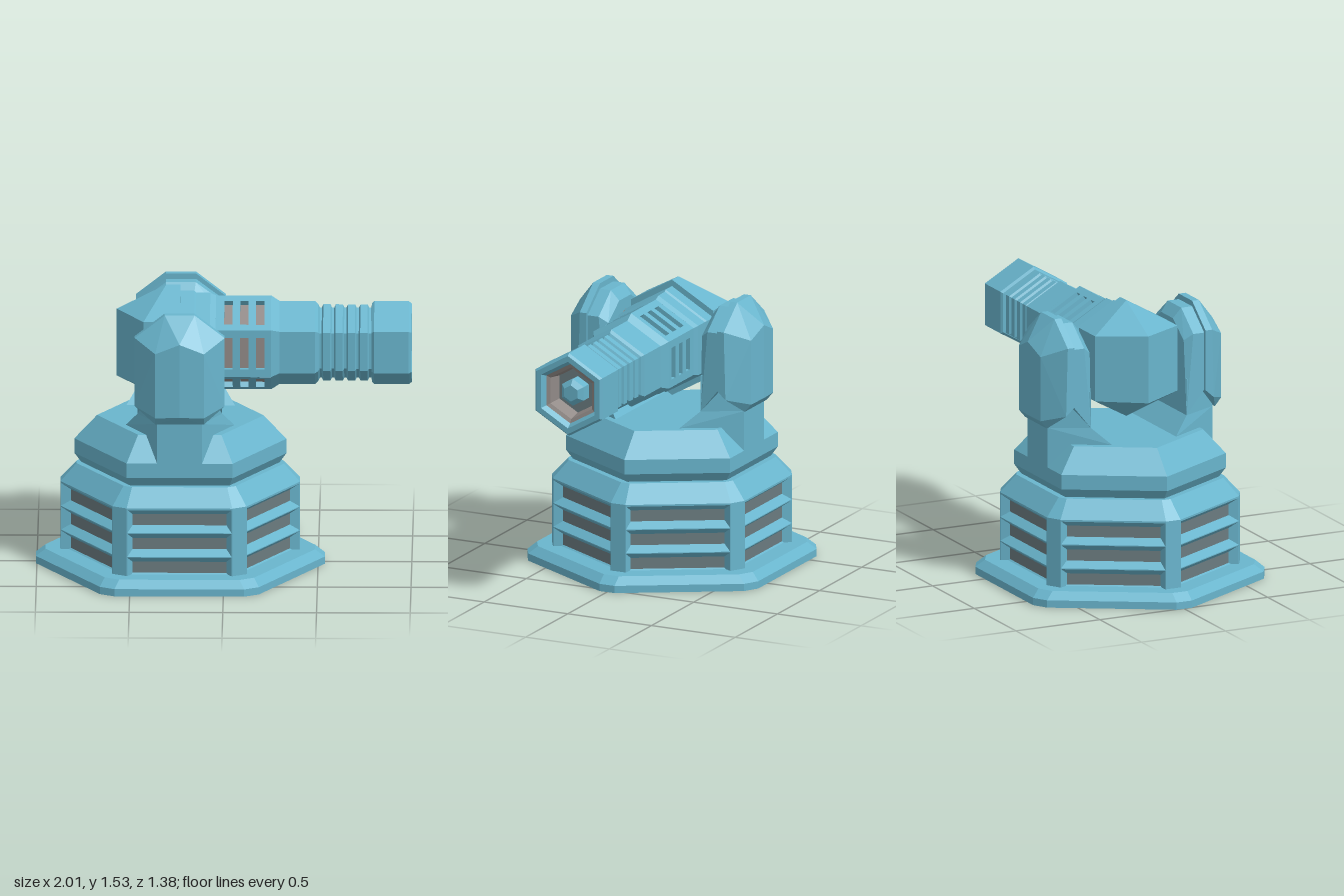
import * as THREE from 'three';
import { ConvexGeometry } from 'three/addons/geometries/ConvexGeometry.js';

const teal = new THREE.MeshStandardMaterial({ color: 0x69b5cd, flatShading: true });
const grey = new THREE.MeshStandardMaterial({ color: 0x918a87, flatShading: true });
const slate = new THREE.MeshStandardMaterial({ color: 0x6b7c80, flatShading: true });
const CX = -0.235; // turning axis of the turret
const AXIS_Y = 1.215; // height of the barrel axis

function add(parent, name, geometry, material = teal) {
  const mesh = new THREE.Mesh(geometry, material);
  mesh.name = name;
  parent.add(mesh);
  return mesh;
}

// Skin a stack of equal-length rings, optionally closing both ends
function loft(rings, capped = true) {
  const n = rings[0].length;
  const index = [];
  for (let i = 0; i < rings.length - 1; i++) {
    for (let j = 0; j < n; j++) {
      const a = i * n + j, b = i * n + (j + 1) % n;
      index.push(a, b, b + n, a, b + n, a + n);
    }
  }
  const top = (rings.length - 1) * n;
  for (let j = 1; capped && j < n - 1; j++) index.push(0, j + 1, j, top, top + j, top + j + 1);
  const g = new THREE.BufferGeometry();
  g.setAttribute('position', new THREE.Float32BufferAttribute(rings.flat(2), 3));
  g.setIndex(index);
  const flat = g.toNonIndexed();
  flat.computeVertexNormals();
  return flat;
}

// Hexagon with clipped corners: apothem a, clip length c, height y
function hexRing(a, c, y) {
  const R = a * 2 / Math.sqrt(3);
  const corner = k => new THREE.Vector3(R * Math.cos(k * Math.PI / 3), y, -R * Math.sin(k * Math.PI / 3));
  const ring = [];
  for (let k = 0; k < 6; k++) {
    for (const d of [-1, 1]) ring.push(corner(k).lerp(corner(k + d), c / R).toArray());
  }
  return ring;
}

// Upright rectangle of half width w between heights y0 and y1
function rectRing(w, y0, y1, z) {
  return [[-w, y0, z], [w, y0, z], [w, y1, z], [-w, y1, z]];
}

// Convex solid from points mirrored across x, with z multiplied by side
function hull(points, side = 1) {
  const all = [];
  for (const [x, y, z] of points) {
    all.push(new THREE.Vector3(x, y, z * side));
    if (x) all.push(new THREE.Vector3(-x, y, z * side));
  }
  return new ConvexGeometry(all);
}

// Six-sided turned part along +x, profile as [x, radius]
function turned(profile) {
  const pts = profile.map(([x, r]) => new THREE.Vector2(r, x));
  const g = new THREE.LatheGeometry(pts, 6, Math.PI / 2).toNonIndexed().rotateZ(-Math.PI / 2);
  g.computeVertexNormals();
  return g;
}

function rectPath(PathType, x0, x1, y0, y1) {
  return new PathType([[x0, y0], [x1, y0], [x1, y1], [x0, y1]].map(p => new THREE.Vector2(...p)));
}

function buildBase() {
  const base = new THREE.Group();
  base.name = 'base';
  add(base, 'footPlate', loft([hexRing(0.69, 0.052, 0), hexRing(0.69, 0.052, 0.04), hexRing(0.645, 0.052, 0.08)]));
  add(base, 'ventBacking', loft([hexRing(0.53, 0, 0.07), hexRing(0.53, 0, 0.45)]), slate);
  add(base, 'bodyShoulder', loft([hexRing(0.575, 0.05, 0.445), hexRing(0.575, 0.05, 0.455), hexRing(0.492, 0.03, 0.55)]));

  const cells = [0, 1, 2].map(i => [0.055 + i * 0.132, 0.182 + i * 0.132]);
  for (let k = 0; k < 6; k++) {
    // Side with three bevelled vent recesses
    const face = new THREE.Group();
    face.name = 'ventSide';
    face.rotation.y = k * Math.PI / 3;
    base.add(face);
    const frame = rectPath(THREE.Shape, -0.282, 0.282, 0.05, 0.45);
    for (const [y0, y1] of cells) {
      frame.holes.push(rectPath(THREE.Path, -0.278, 0.278, y0, y1));
      const rings = [rectRing(0.278, y0, y1, 0.575), rectRing(0.25, y0 + 0.032, y1 - 0.035, 0.529)];
      add(face, 'ventBevel', loft(rings, false));
    }
    add(face, 'ventFrame', new THREE.ShapeGeometry(frame)).position.z = 0.575;

    // Corner post
    const mount = new THREE.Group();
    mount.name = 'cornerPostMount';
    mount.rotation.y = k * Math.PI / 3;
    base.add(mount);
    add(mount, 'cornerPost', new THREE.BoxGeometry(0.05, 0.39, 0.0866)).position.set(0.614, 0.255, 0);
  }
  return base;
}

function buildCradle() {
  const cradle = new THREE.Group();
  cradle.name = 'cradle';
  add(cradle, 'turntable', loft([hexRing(0.455, 0, 0.545), hexRing(0.49, 0, 0.6), hexRing(0.49, 0, 0.68), hexRing(0.385, 0, 0.81)]));
  for (const s of [1, -1]) {
    add(cradle, 'armFoot', hull([
      [0.29, 0.68, 0.19], [0.29, 0.81, 0.19], [0.225, 0.9, 0.285], [0.12, 0.68, 0.49], [0.12, 0.9, 0.49],
    ], s));
    add(cradle, 'armPost', hull([
      [0.225, 0.9, 0.285], [0.225, 1.1, 0.285], [0.12, 0.9, 0.49], [0.12, 1.1, 0.49],
    ], s));
    add(cradle, 'armInnerPlate', hull([
      [0.225, 0.9, 0.285], [0.225, 1.03, 0.325], [0.225, 1.03, 0.39],
      [0.2, 1.31, 0.28], [0.07, 1.4, 0.28],
      [0.225, 1.345, 0.325], [0.08, 1.455, 0.325], [0.225, 1.345, 0.39], [0.08, 1.455, 0.39],
    ], s));
    add(cradle, 'armArmour', hull([
      [0.24, 1.03, 0.39], [0.24, 1.36, 0.39], [0.08, 1.485, 0.39],
      [0.24, 1.36, 0.43], [0.08, 1.485, 0.43], [0.24, 0.985, 0.44],
      [0.13, 0.9, 0.5], [0.13, 0.945, 0.538], [0.13, 1.3, 0.538],
      [0, 0.95, 0.55], [0, 1.355, 0.55],
    ], s));
  }
  // Pivot pin between the arms
  const pin = new THREE.CylinderGeometry(0.125, 0.125, 0.6, 6).rotateX(Math.PI / 2);
  add(cradle, 'pivotPin', pin, grey).position.y = AXIS_Y;
  return cradle;
}

function buildGun() {
  const gun = new THREE.Group();
  gun.name = 'gun';
  gun.position.y = AXIS_Y;

  // Wedge-backed housing
  const housing = [];
  for (const y of [1, -1]) {
    housing.push([-0.575, 0.185 * y, 0], [-0.31, 0.32 * y, 0], [-0.235, 0.32 * y, 0]);
    for (const z of [0.245, -0.245]) housing.push([-0.43, 0.18 * y, z], [-0.235, 0.18 * y, z]);
  }
  add(gun, 'housing', new ConvexGeometry(housing.map(p => new THREE.Vector3(...p))));
  add(gun, 'housingCollar', turned([
    [-0.25, 0.285], [-0.16, 0.285], [-0.15, 0.276], [-0.075, 0.274], [-0.045, 0.26], [-0.04, 0.2],
  ]));

  // Slotted barrel sleeve over a grey core
  add(gun, 'sleeveCore', turned([[-0.05, 0.225], [0.25, 0.225]]), grey);
  const panel = rectPath(THREE.Shape, -0.045, 0.25, -0.13, 0.13);
  for (const x of [0, 0.085, 0.17]) panel.holes.push(rectPath(THREE.Path, x, x + 0.045, -0.088, 0.088));
  const panelGeometry = new THREE.ExtrudeGeometry(panel, { depth: 0.03, bevelEnabled: false }).translate(0, 0, 0.195);
  for (let k = 0; k < 6; k++) add(gun, 'sleevePanel', panelGeometry).rotation.x = k * Math.PI / 3;

  // Barrel with four ribs and a hollow muzzle
  const profile = [[0.25, 0.2], [0.25, 0.26], [0.295, 0.23], [0.485, 0.23], [0.5, 0.215], [0.51, 0.195]];
  for (let i = 0; i < 4; i++) {
    const x = 0.52 + i * 0.066;
    profile.push([x, 0.195], [x + 0.008, 0.212], [x + 0.046, 0.212], [x + 0.054, 0.195]);
  }
  profile.push([0.785, 0.195], [0.787, 0.217], [0.8, 0.23], [0.985, 0.23], [1, 0.217], [1, 0.185], [0.97, 0.165]);
  add(gun, 'barrel', turned(profile));
  add(gun, 'muzzleLining', turned([[0.97, 0.165], [0.96, 0.143], [0.88, 0.128]]), grey);
  add(gun, 'muzzleBack', turned([[0.88, 0.128], [0.88, 0]]), slate);
  add(gun, 'muzzleCore', turned([[0.88, 0.075], [0.94, 0.075], [0.965, 0.045], [0.965, 0]]));
  return gun;
}

export function createModel() {
  const model = new THREE.Group();
  model.name = 'turret';
  for (const part of [buildBase(), buildCradle()]) {
    part.position.x = CX;
    model.add(part);
  }
  model.add(buildGun());
  return model;
}
